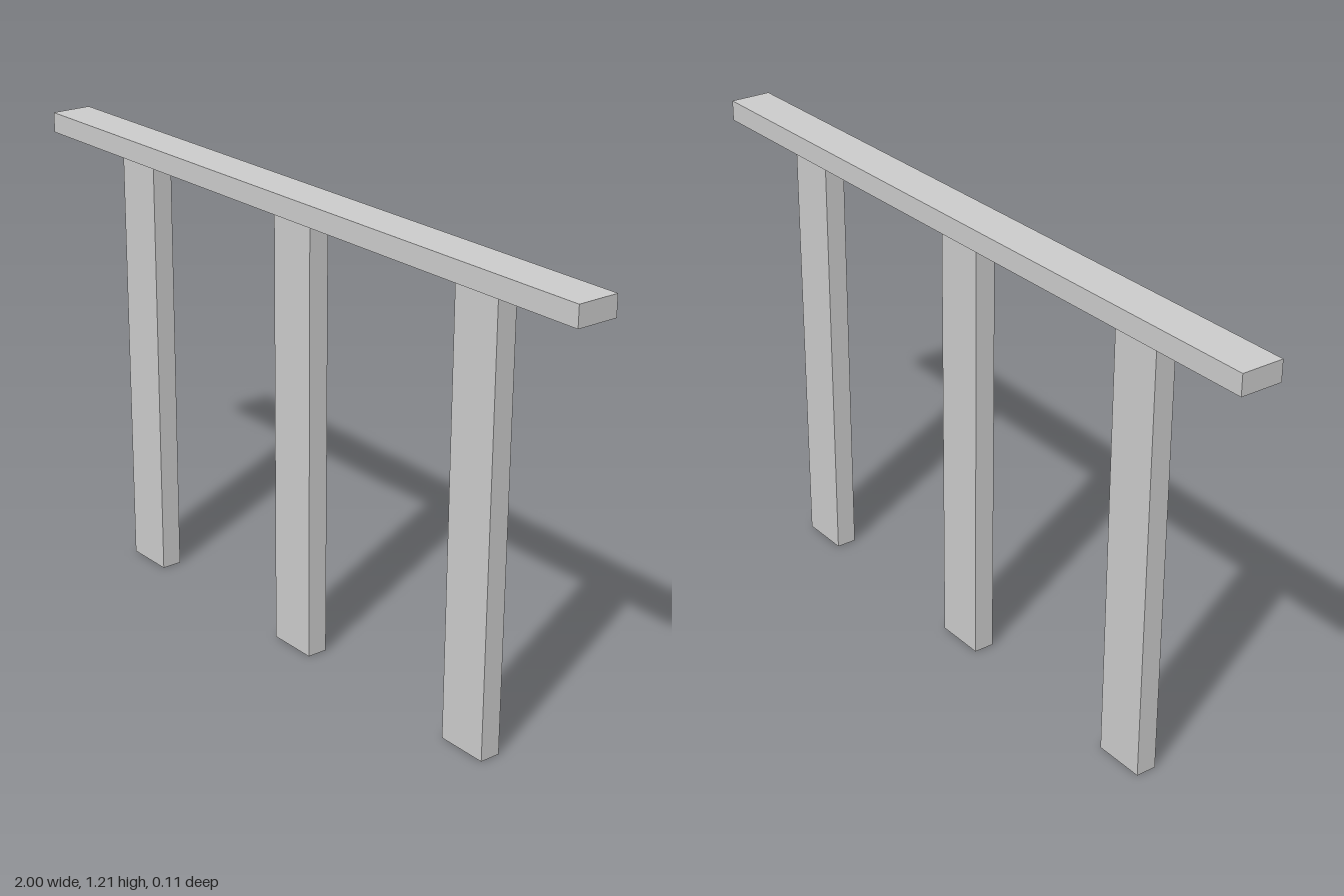
import * as THREE from 'three';

const material = new THREE.MeshStandardMaterial({ color: 0xcccccc, flatShading: true, side: THREE.DoubleSide });

// Box without its top and bottom faces
function openTube(w, h, d) {
  const geo = new THREE.BoxGeometry(w, h, d);
  const index = Array.from(geo.index.array);
  geo.setIndex([...index.slice(0, 12), ...index.slice(24)]);
  geo.clearGroups();
  return geo;
}

export function createModel() {
  const group = new THREE.Group();
  group.name = 'railing';

  // Long horizontal rail
  const railBottom = 1.152, railTop = 1.206;
  const rail = new THREE.Mesh(new THREE.BoxGeometry(2, railTop - railBottom, 0.112), material);
  rail.name = 'topRail';
  rail.position.y = (railBottom + railTop) / 2;
  group.add(rail);

  // Three hollow posts, open at the foot, reaching up inside the rail
  const postHeight = 1.204;
  const postGeo = openTube(0.138, postHeight, 0.055);
  ['rightPost', 'middlePost', 'leftPost'].forEach((name, i) => {
    const post = new THREE.Mesh(postGeo, material);
    post.name = name;
    post.position.set(-0.631 + i * 0.65, postHeight / 2, 0.005);
    group.add(post);
  });

  return group;
}
